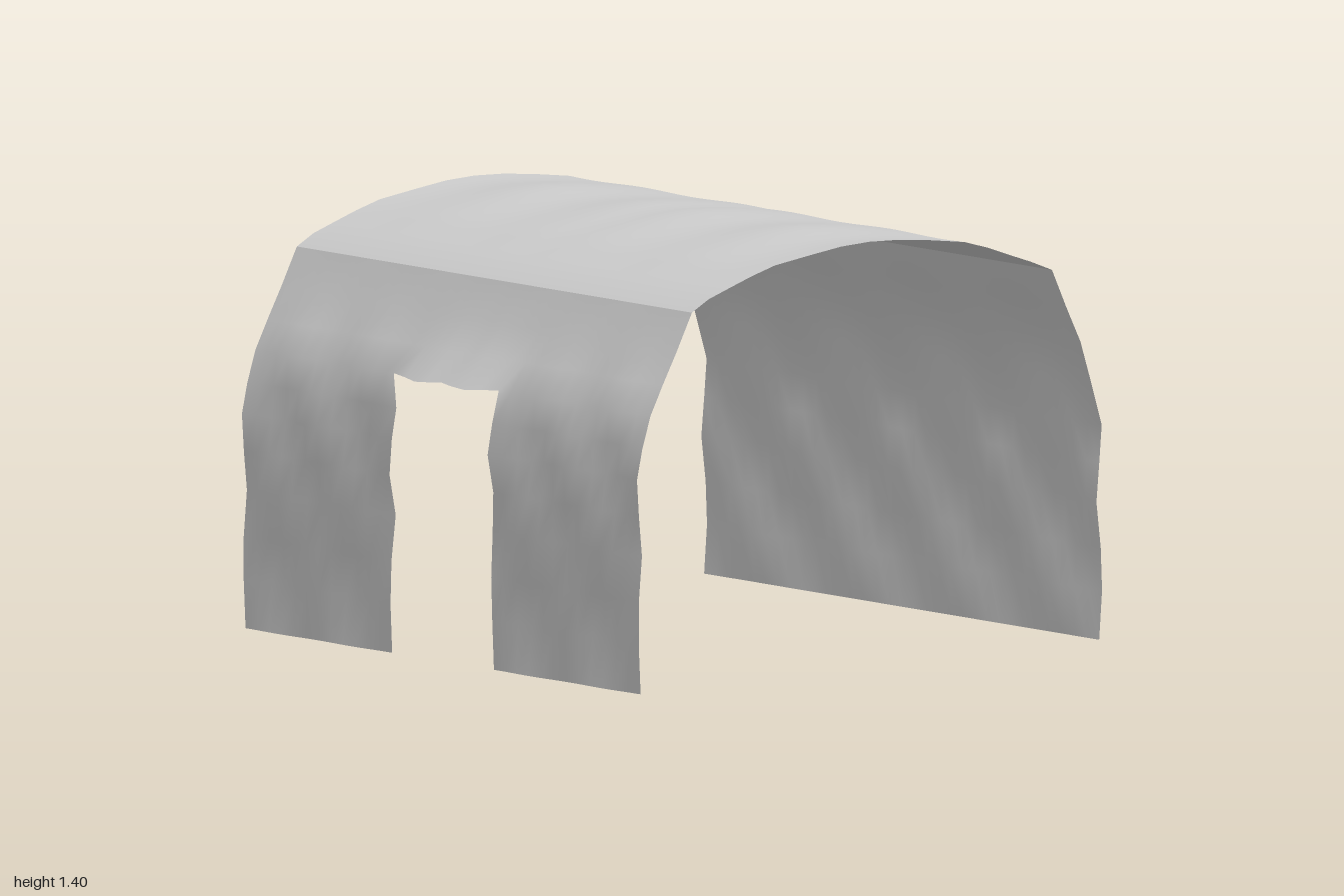
import * as THREE from 'three';

const HALF_WIDTH = 0.99, COLS = 16; // columns per side
const DOOR_COL = 4, DOOR_ROW = 7; // doorway limits in the front wall grid

// Cross-sections as [z, y]
const FRONT = [[0.97, 0], [0.965, 0.16], [0.97, 0.3], [0.975, 0.45], [0.973, 0.58], [0.968, 0.7],
  [0.955, 0.8], [0.935, 0.905], [0.88, 1.0], [0.815, 1.1], [0.75, 1.225]];
const ROOF = [[0.75, 1.225], [0.68, 1.262], [0.6, 1.288], [0.5, 1.32], [0.4, 1.347], [0.25, 1.367], [0.12, 1.383], [0, 1.388],
  [-0.12, 1.383], [-0.25, 1.37], [-0.4, 1.35], [-0.5, 1.322], [-0.6, 1.287], [-0.68, 1.26], [-0.77, 1.225]];
const BACK = [[-0.77, 1.225], [-0.83, 1.1], [-0.9, 0.98], [-0.935, 0.85], [-0.965, 0.7], [-0.967, 0.58],
  [-0.972, 0.45], [-0.978, 0.3], [-0.97, 0.16], [-0.97, 0]];

const wave = (v, peak, period) => Math.cos((v - peak) * 2 * Math.PI / period);
// Fades the unevenness out at the ground and at the roof crease
const fade = y => Math.min(1, 0.3 + y * 3) * THREE.MathUtils.clamp((1.2 - y) * 3, 0, 1);

// Mirrored unevenness for each panel: moves p in place
function warpFront(p, col, row) {
  const a = Math.abs(p.x);
  const lintel = Math.exp(-(((p.y - 0.905) / 0.07) ** 2)) * Math.exp(-((a / 0.32) ** 4));
  p.z += fade(p.y) * 0.014 * wave(a, 0.45, 0.36) * wave(p.y, 0.45, 0.5) + 0.04 * lintel;
  // Wavy door jambs
  if (Math.abs(col) === DOOR_COL && row <= DOOR_ROW) {
    const jamb = [0.255, 0.255, 0.25, 0.243, 0.26, 0.24, 0.24, 0.263][row];
    p.x = Math.sign(col) * jamb;
  }
  if (row === DOOR_ROW && a < 0.25) p.y += 0.005 * wave(a, 0, 0.24);
}
function warpRoof(p) {
  const a = Math.abs(p.x);
  p.y += 0.008 * wave(a, 0.12, 0.5) * Math.max(0, 1 - Math.abs(p.z) / 0.6);
}
function warpBack(p) {
  const a = Math.abs(p.x);
  p.z -= fade(p.y) * 0.015 * wave(a, 0, 0.5) * wave(p.y, 0.7, 0.55);
}

// Sheet made by sweeping a cross-section across the width
function panel(name, profile, warp, isOpen = () => false) {
  const positions = [], index = [], p = new THREE.Vector3(), stride = COLS * 2 + 1;
  profile.forEach(([z, y], row) => {
    for (let c = -COLS; c <= COLS; c++) {
      p.set(c / COLS * HALF_WIDTH, y, z);
      warp(p, c, row);
      positions.push(p.x, p.y, p.z);
    }
  });
  for (let row = 0; row < profile.length - 1; row++) {
    for (let c = 0; c < stride - 1; c++) {
      if (isOpen(c - COLS, row)) continue;
      const a = row * stride + c, b = a + 1, d = a + stride, e = d + 1;
      index.push(a, b, e, a, e, d);
    }
  }
  const geometry = new THREE.BufferGeometry();
  geometry.setAttribute('position', new THREE.Float32BufferAttribute(positions, 3));
  geometry.setIndex(index);
  geometry.computeVertexNormals();
  const mesh = new THREE.Mesh(geometry,
    new THREE.MeshStandardMaterial({ color: 0xcccccc, side: THREE.DoubleSide }));
  mesh.name = name;
  return mesh;
}

export function createModel() {
  const group = new THREE.Group();
  group.name = 'tentShelter';
  const inDoorway = (col, row) => row < DOOR_ROW && col >= -DOOR_COL && col < DOOR_COL;
  group.add(
    panel('frontWall', FRONT, warpFront, inDoorway),
    panel('roof', ROOF, warpRoof),
    panel('backWall', BACK, warpBack),
  );
  return group;
}
